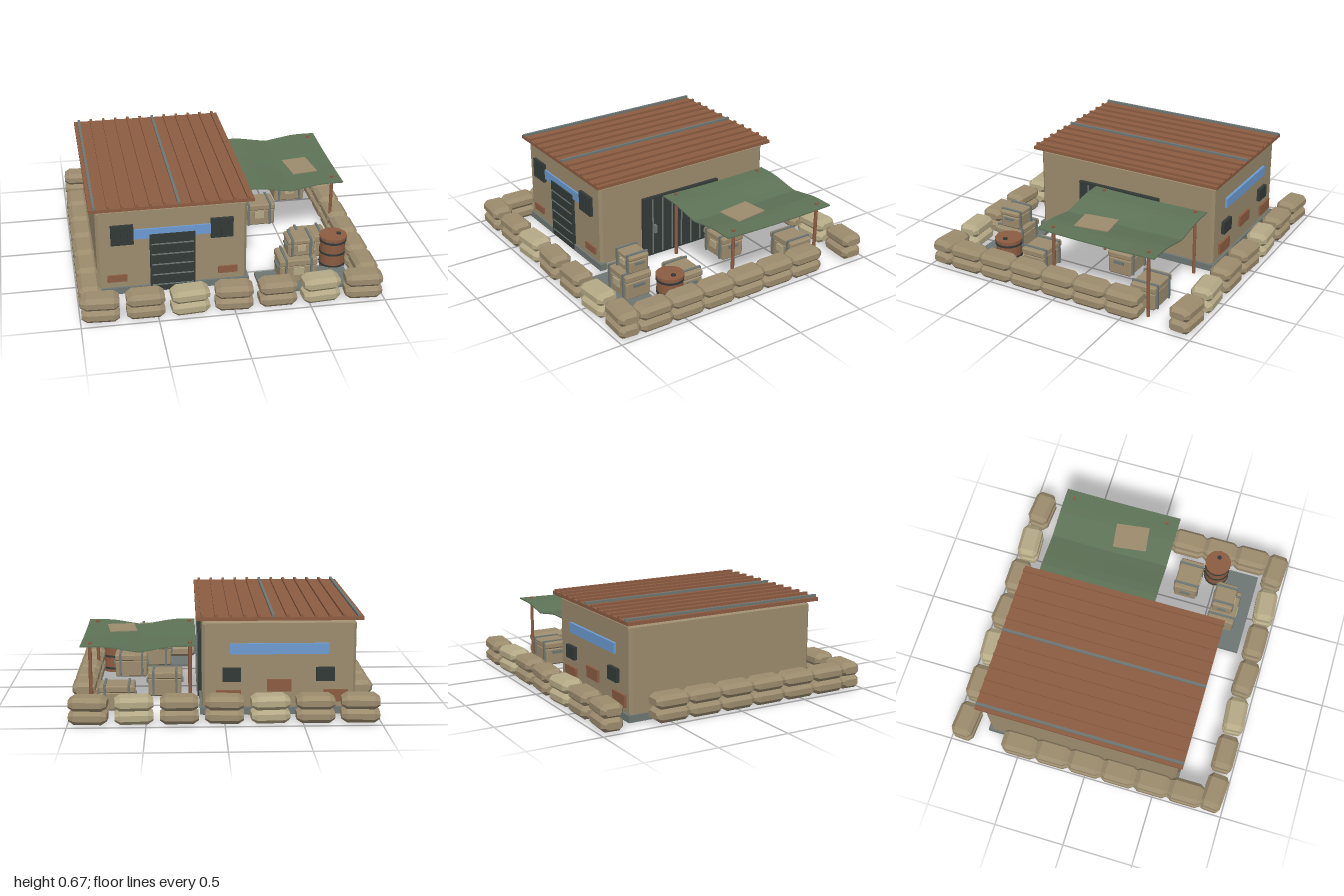
import * as THREE from 'three';

const mat = (color, side = THREE.FrontSide) => new THREE.MeshStandardMaterial({ color, side, flatShading: true });
const M = {
  tan: mat(0x9c8c6e), light: mat(0xb5aa86), rust: mat(0x8c5c42), dark: mat(0x333a37),
  steel: mat(0x6e7773), blue: mat(0x6d9bd2), tarp: mat(0x5e7357, THREE.DoubleSide),
};

function add(parent, name, geo, material, x = 0, y = 0, z = 0) {
  const m = new THREE.Mesh(geo, material);
  m.name = name;
  m.position.set(x, y, z);
  parent.add(m);
  return m;
}

// box given by its lower and upper corners
function block(parent, name, material, x0, x1, y0, y1, z0, z1) {
  return add(parent, name, new THREE.BoxGeometry(x1 - x0, y1 - y0, z1 - z0), material,
    (x0 + x1) / 2, (y0 + y1) / 2, (z0 + z1) / 2);
}

// box with every edge chamfered: octagonal section extruded along z with a bevel
function chamferBox(w, h, d, c, end = c) {
  const a = w / 2 - c, b = h / 2 - c, k = c * 0.6;
  const s = new THREE.Shape([[a, -b + k], [a, b - k], [a - k, b], [-a + k, b], [-a, b - k],
    [-a, -b + k], [-a + k, -b], [a - k, -b]].map(p => new THREE.Vector2(...p)));
  const g = new THREE.ExtrudeGeometry(s, {
    depth: d - 2 * end, bevelEnabled: true, bevelSize: c, bevelThickness: end, bevelSegments: 1, curveSegments: 1,
  });
  return g.translate(0, 0, -d / 2 + end);
}

function sandbags(root) {
  const geo = chamferBox(0.15, 0.09, 0.245, 0.022, 0.035);
  const walls = new THREE.Group();
  walls.name = 'sandbagWalls';
  root.add(walls);
  for (const y of [0.053, 0.14]) {
    // front and back rows
    for (const z of [-0.912, 0.912]) for (let i = 0; i < 7; i++) {
      const bag = add(walls, 'sandbag', geo, i % 3 === 2 ? M.light : M.tan, (i - 3) * 0.289, y, z);
      bag.rotation.y = Math.PI / 2 + (i % 3 - 1) * 0.07;
    }
    // side rows
    for (const x of [-0.922, 0.922]) for (let i = 0; i < 6; i++) {
      add(walls, 'sandbag', geo, M.tan, x, y, -0.494 + i * 0.243);
    }
  }
}

function building(root) {
  const g = new THREE.Group();
  g.name = 'building';
  root.add(g);
  block(g, 'foundation', M.steel, -0.87, 0.155, 0.008, 0.055, -0.755, 0.645);
  block(g, 'foundationUnderside', M.dark, -0.85, 0.135, 0, 0.01, -0.735, 0.625);
  add(g, 'walls', chamferBox(1.0, 0.6, 1.37, 0.018), M.tan, -0.36, 0.33, -0.055);

  // corrugated roof
  block(g, 'roofSheet', M.rust, -0.9, 0.18, 0.635, 0.658, -0.775, 0.665);
  for (let i = 0; i < 12; i++) {
    const x = -0.865 + i * 0.0915;
    block(g, 'roofRib', i % 6 ? M.rust : M.steel, x - 0.009, x + 0.009, 0.655, 0.674, -0.775, 0.665);
  }

  // front: door with slats, shutters, window strip, rusty patches
  block(g, 'frontDoor', M.dark, -0.51, -0.21, 0.015, 0.44, 0.62, 0.65);
  for (let y = 0.06; y < 0.42; y += 0.077) {
    block(g, 'doorSlat', M.steel, -0.5, -0.22, y - 0.004, y + 0.004, 0.645, 0.654);
  }
  block(g, 'frontWindow', M.blue, -0.68, -0.04, 0.41, 0.48, 0.62, 0.642);
  for (const x of [-0.69, -0.03]) {
    block(g, 'shutter', M.dark, x - 0.075, x + 0.075, 0.38, 0.52, 0.625, 0.652);
    for (const dx of [-0.045, 0, 0.045]) {
      block(g, 'shutterBar', M.dark, x + dx - 0.008, x + dx + 0.008, 0.39, 0.51, 0.65, 0.66);
    }
  }
  for (const x of [-0.73, 0.01]) block(g, 'frontPatch', M.rust, x - 0.065, x + 0.065, 0.1, 0.15, 0.62, 0.642);

  // back: window strip, vents, rusty patches
  block(g, 'backWindow', M.blue, -0.68, -0.04, 0.41, 0.48, -0.758, -0.73);
  for (const x of [-0.66, -0.05]) {
    block(g, 'backVent', M.dark, x - 0.06, x + 0.06, 0.23, 0.32, -0.765, -0.73);
  }
  for (const [x, y] of [[-0.73, 0.13], [-0.36, 0.2], [-0.03, 0.13]]) {
    block(g, 'backPatch', M.rust, x - 0.08, x + 0.08, y - 0.04, y + 0.04, -0.756, -0.73);
  }

  // wide side door with upright ribs
  block(g, 'sideDoor', M.dark, 0.12, 0.165, 0.015, 0.46, -0.33, 0.3);
  for (let i = 0; i < 7; i++) {
    const z = -0.255 + i * 0.08;
    block(g, 'sideDoorRib', M.steel, 0.16, 0.172, 0.03, 0.445, z - 0.004, z + 0.004);
  }
  block(g, 'sideDoorHandle', M.steel, 0.16, 0.185, 0.19, 0.25, 0.2, 0.22);
}

function canopy(root) {
  const g = new THREE.Group();
  g.name = 'canopy';
  root.add(g);
  const sag = (x, z) => 0.457 - 0.038 * Math.max(0, 1 - Math.abs(x - 0.55) / 0.22)
    - 0.008 * Math.cos((z + 0.28) * 3.6);
  const cloth = new THREE.BoxGeometry(0.75, 0.008, 0.86, 12, 1, 8).translate(0.555, 0, -0.28);
  const p = cloth.attributes.position;
  for (let i = 0; i < p.count; i++) p.setY(i, p.getY(i) + sag(p.getX(i), p.getZ(i)));
  cloth.computeVertexNormals();
  add(g, 'canopyCloth', cloth, M.tarp);
  const patch = add(g, 'canopyPatch', new THREE.BoxGeometry(0.185, 0.006, 0.24), M.tan, 0.683, 0.464, -0.152);
  patch.rotation.y = 0.13;
  for (const x of [0.217, 0.87]) for (const z of [-0.64, 0.063]) {
    add(g, 'canopyPost', new THREE.CylinderGeometry(0.012, 0.012, 0.472, 8), M.rust, x, 0.236, z);
  }
}

// crate with lid, two straps, corner feet and a front label
function crate(root, x, y, z, w, h, d, turn = 0) {
  const g = new THREE.Group();
  g.name = 'crate';
  g.position.set(x, y, z);
  g.rotation.y = turn;
  root.add(g);
  add(g, 'crateBody', chamferBox(w - 0.01, h * 0.72, d - 0.02, 0.008), M.tan, 0, h * 0.36, 0);
  add(g, 'crateLid', chamferBox(w, h * 0.28, d - 0.01, 0.008), M.tan, 0, h * 0.85, 0);
  for (const s of [-1, 1]) {
    block(g, 'crateStrap', M.steel, s * w * 0.33 - 0.008, s * w * 0.33 + 0.008, 0.004, h + 0.006, -d / 2, d / 2);
    block(g, 'crateHandle', M.steel, s * w / 2 - 0.008, s * w / 2 + 0.008, h * 0.5, h * 0.62, -d * 0.2, d * 0.2);
  }
  block(g, 'crateLabel', M.light, -w * 0.14, w * 0.14, h * 0.35, h * 0.65, d / 2 - 0.015, d / 2);
}

function barrel(root) {
  const g = new THREE.Group();
  g.name = 'barrel';
  g.position.set(0.773, 0, 0.492);
  root.add(g);
  add(g, 'barrelBody', new THREE.CylinderGeometry(0.088, 0.088, 0.235, 16), M.rust, 0, 0.118, 0);
  for (const y of [0.03, 0.12, 0.205]) {
    add(g, 'barrelHoop', new THREE.CylinderGeometry(0.093, 0.093, 0.014, 16), M.dark, 0, y, 0);
  }
  add(g, 'barrelRim', new THREE.CylinderGeometry(0.095, 0.095, 0.018, 16), M.rust, 0, 0.231, 0);
  add(g, 'barrelCap', new THREE.CylinderGeometry(0.016, 0.016, 0.012, 8), M.dark, 0.04, 0.243, 0);
}

export function createModel() {
  const root = new THREE.Group();
  root.name = 'outpost';
  building(root);
  canopy(root);
  sandbags(root);
  // supplies in the yard
  block(root, 'groundPlate', M.steel, 0.21, 0.835, 0.005, 0.025, 0.545, 0.805);
  crate(root, 0.48, 0.02, 0.622, 0.26, 0.175, 0.205);
  crate(root, 0.503, 0.2, 0.61, 0.19, 0.125, 0.16);
  crate(root, 0.645, 0.01, 0.31, 0.24, 0.17, 0.185);
  crate(root, 0.39, 0.01, -0.22, 0.24, 0.17, 0.19);
  crate(root, 0.7, 0.01, -0.57, 0.24, 0.17, 0.19);
  barrel(root);
  return root;
}
